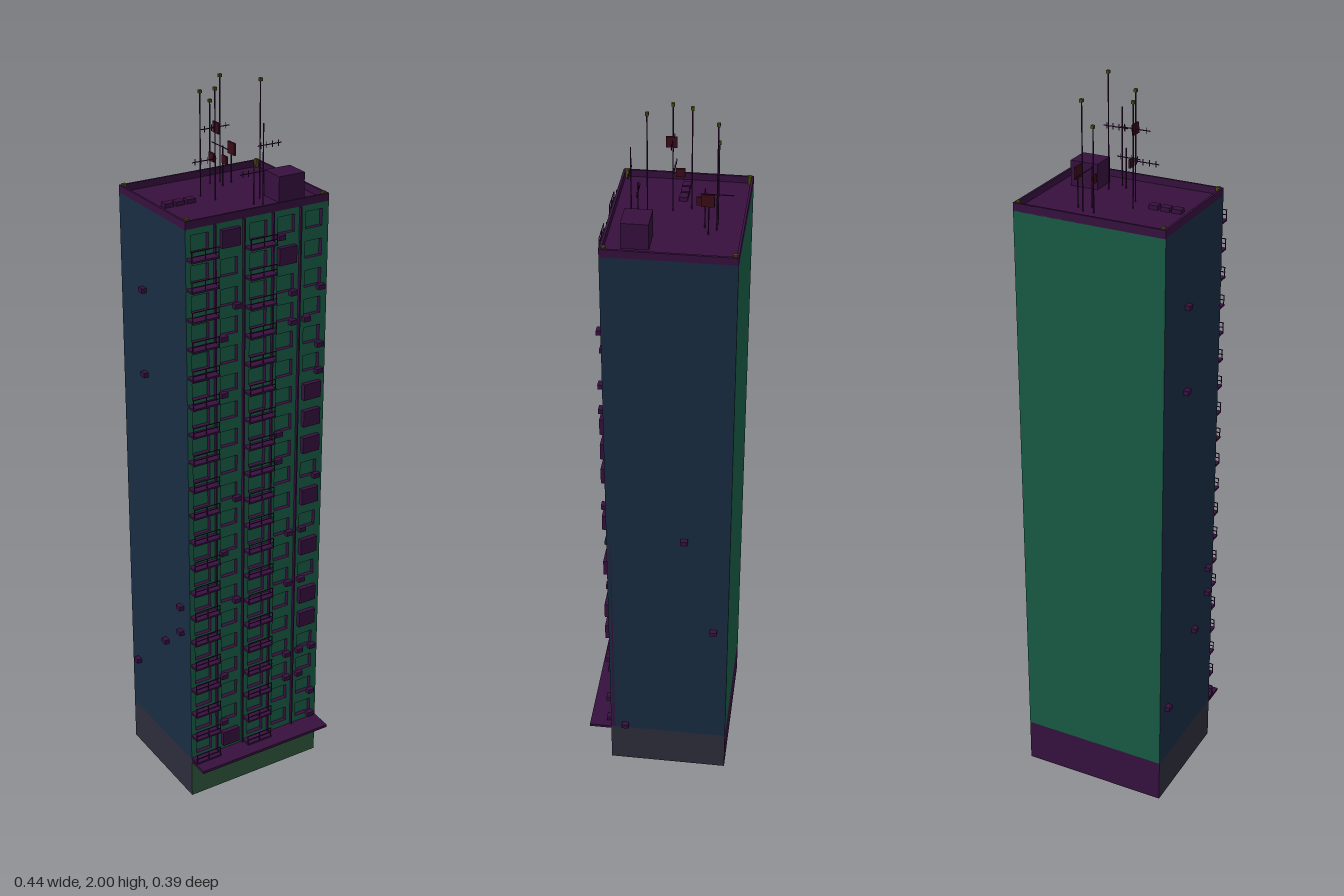
import * as THREE from 'three';

const mat = (color) => new THREE.MeshStandardMaterial({ color, side: THREE.DoubleSide, flatShading: true });

export function createModel() {
  const purple = mat(0x36103e), green = mat(0x195c44), navy = mat(0x182c42);
  const moss = mat(0x2f563c), slate = mat(0x2d2d3b), olive = mat(0x4a4a14), rust = mat(0x3a0c18);

  const model = new THREE.Group();
  model.name = 'apartmentTower';
  const group = (name) => {
    const g = new THREE.Group();
    g.name = name;
    model.add(g);
    return g;
  };
  const add = (parent, name, geometry, material, x, y, z) => {
    const m = new THREE.Mesh(geometry, material);
    m.name = name;
    m.position.set(x, y, z);
    parent.add(m);
    return m;
  };
  const box = (parent, name, material, w, h, d, x, y, z) =>
    add(parent, name, new THREE.BoxGeometry(w, h, d), material, x, y, z);

  const X = 0.208, BACK = -0.198, FRONT = 0.134, BASE = 0.125, ROOF = 1.692, TOP = 1.71;
  const depth = FRONT - BACK, midZ = (FRONT + BACK) / 2;
  const floors = 20, pitch = (ROOF - BASE) / floors;
  const columns = [-0.168, -0.085, 0, 0.081, 0.164];
  const floorY = (i) => BASE + i * pitch;

  // Hollow shell, open at the bottom
  const shell = group('shell');
  const wall = (name, material, w, y0, y1, x, z, turn) => {
    const m = add(shell, name, new THREE.PlaneGeometry(w, y1 - y0), material, x, (y0 + y1) / 2, z);
    m.rotation.y = turn;
  };
  wall('baseFront', moss, 2 * X, 0, BASE, 0, FRONT, 0);
  wall('baseBack', purple, 2 * X, 0, BASE, 0, BACK, Math.PI);
  wall('backWall', green, 2 * X, BASE, ROOF, 0, BACK, Math.PI);
  for (const s of [-1, 1]) {
    wall('baseSide', slate, depth, 0, BASE, s * X, midZ, s * Math.PI / 2);
    wall('sideWall', navy, depth, BASE, ROOF, s * X, midZ, s * Math.PI / 2);
  }

  // Front wall with a recessed window in every bay
  const recess = 0.012, winW = 0.05, winH = 0.045;
  const rectangle = (target, x0, y0, x1, y1) =>
    target.moveTo(x0, y0).lineTo(x1, y0).lineTo(x1, y1).lineTo(x0, y1).closePath();
  const facade = rectangle(new THREE.Shape(), -X, BASE, X, ROOF);
  for (let i = 0; i < floors; i++) {
    for (const x of columns) {
      const y = floorY(i) + pitch / 2;
      facade.holes.push(rectangle(new THREE.Path(), x - winW / 2, y - winH / 2, x + winW / 2, y + winH / 2));
    }
  }
  add(shell, 'frontWall', new THREE.ExtrudeGeometry(facade, { depth: recess, bevelEnabled: false }),
    [green, purple], 0, 0, FRONT - recess);
  wall('windowPanes', green, 2 * X, BASE, ROOF, 0, FRONT - recess - 0.0005, 0);

  // Vertical ribs between the bays
  for (const x of [-0.127, -0.044, 0.041, 0.122]) {
    box(shell, 'rib', purple, 0.004, ROOF - BASE, 0.008, x, (ROOF + BASE) / 2, FRONT + 0.004);
  }
  box(shell, 'canopy', purple, 2 * X, 0.008, 0.063, 0, 0.12, FRONT + 0.0315);

  // Balconies: slab, rails and posts
  const balconies = group('balconies');
  for (const x of [columns[0], columns[2]]) {
    for (let i = 0; i < floors; i++) {
      const y = floorY(i), w = 0.079, z = FRONT + 0.027;
      box(balconies, 'slab', purple, w, 0.005, 0.029, x, y + 0.003, FRONT + 0.0145);
      for (const h of [0.017, 0.03]) box(balconies, 'rail', purple, w, 0.002, 0.002, x, y + h, z);
      for (const dx of [-0.038, 0, 0.038]) box(balconies, 'post', purple, 0.002, 0.03, 0.002, x + dx, y + 0.015, z);
    }
  }

  // Window enclosures: column index -> floors
  const enclosures = group('windowEnclosures');
  const caged = { 1: [0, 19], 3: [18], 4: [4, 5, 7, 9, 11, 12, 13] };
  for (const c in caged) {
    for (const i of caged[c]) {
      box(enclosures, 'enclosure', purple, 0.052, 0.046, 0.014, columns[c], floorY(i) + pitch / 2, FRONT + 0.006);
    }
  }

  // Air conditioners on the front: x -> heights
  const coolers = group('airConditioners');
  const frontUnits = [
    [-0.105, [1.39, 1.235, 0.77, 0.375, 0.22]],
    [-0.065, [1.47, 0.925, 0.61]],
    [0.062, [1.625, 1.08, 1.0]],
    [0.101, [1.47, 1.39, 0.77, 0.61, 0.375, 0.295]],
    [0.143, [1.39, 0.77, 0.61, 0.375, 0.295]],
    [0.185, [1.47, 1.31, 1.235, 0.925, 0.375, 0.22, 0.14]],
  ];
  for (const [x, heights] of frontUnits) {
    for (const y of heights) box(coolers, 'frontUnit', purple, 0.02, 0.013, 0.014, x, y, FRONT + 0.007);
  }
  // Air conditioners on the sides: side, height, z
  const sideUnits = [
    [1, 0.845, -0.075], [1, 0.53, -0.158], [1, 0.14, 0.092],
    [-1, 1.47, -0.075], [-1, 1.235, -0.075], [-1, 0.61, 0.092],
    [-1, 0.53, 0.092], [-1, 0.455, 0.008], [-1, 0.295, -0.158],
  ];
  for (const [s, y, z] of sideUnits) box(coolers, 'sideUnit', purple, 0.014, 0.013, 0.019, s * (X + 0.007), y, z);

  // Roof deck, parapet and corner posts
  const roof = group('roof');
  box(roof, 'deck', purple, 2 * X, 0.004, depth, 0, ROOF, midZ);
  for (const s of [-1, 1]) {
    box(roof, 'parapetSide', purple, 0.006, TOP - ROOF + 0.004, depth, s * (X - 0.003), (TOP + ROOF) / 2, midZ);
    box(roof, 'parapetEnd', purple, 2 * X, TOP - ROOF + 0.004, 0.006, 0, (TOP + ROOF) / 2, midZ + s * (depth / 2 - 0.003));
    for (const z of [-0.189, 0.124]) box(roof, 'cornerPost', olive, 0.01, 0.024, 0.01, s * 0.198, 1.704, z);
  }
  box(roof, 'stairHut', purple, 0.076, 0.07, 0.068, 0.127, 1.726, 0.054);
  for (const x of [-0.161, -0.13, -0.098]) box(roof, 'ventBox', purple, 0.025, 0.012, 0.021, x, 1.699, -0.033);

  // Masts: x, z, top, capped
  const aerials = group('aerials');
  const masts = [
    [0.02, -0.13, 1.915, true], [0.05, -0.13, 1.975, true], [-0.051, -0.058, 1.965, true],
    [-0.035, -0.013, 1.98, true], [0.065, 0.036, 2.0, true], [0.048, 0.078, 1.9, false],
    [0.03, 0.064, 1.8, false], [0.073, -0.112, 1.79, false], [0.04, -0.1, 1.8, false],
  ];
  for (const [x, z, top, capped] of masts) {
    const h = top - ROOF;
    add(aerials, 'mast', new THREE.CylinderGeometry(0.0016, 0.0016, h, 6), purple, x, ROOF + h / 2, z);
    if (capped) box(aerials, 'mastCap', olive, 0.008, 0.008, 0.008, x, top - 0.004, z);
  }
  // Aerial crossbars: x start, x end, y, z, each with short elements
  for (const [x0, x1, y, z] of [[-0.075, 0.006, 1.88, -0.013], [-0.1, -0.03, 1.8, -0.015],
    [0.032, 0.1, 1.845, 0.078], [-0.01, 0.055, 1.775, 0.064]]) {
    box(aerials, 'crossbar', purple, x1 - x0, 0.002, 0.002, (x0 + x1) / 2, y, z);
    for (let k = 0; k < 4; k++) {
      box(aerials, 'element', purple, 0.0015, 0.016, 0.0015, x0 + (x1 - x0) * (k + 0.5) / 4, y, z);
    }
  }
  box(aerials, 'crossbar', purple, 0.002, 0.002, 0.08, 0.05, 1.79, -0.13);
  // Thin panels: x, y, z, size
  for (const [x, y, z, s] of [[-0.033, 1.88, -0.01, 0.028], [-0.033, 1.8, -0.032, 0.022],
    [0.04, 1.765, -0.09, 0.022], [0.073, 1.785, -0.11, 0.032]]) {
    box(aerials, 'panel', rust, 0.005, s, s, x, y, z);
  }
  return model;
}
